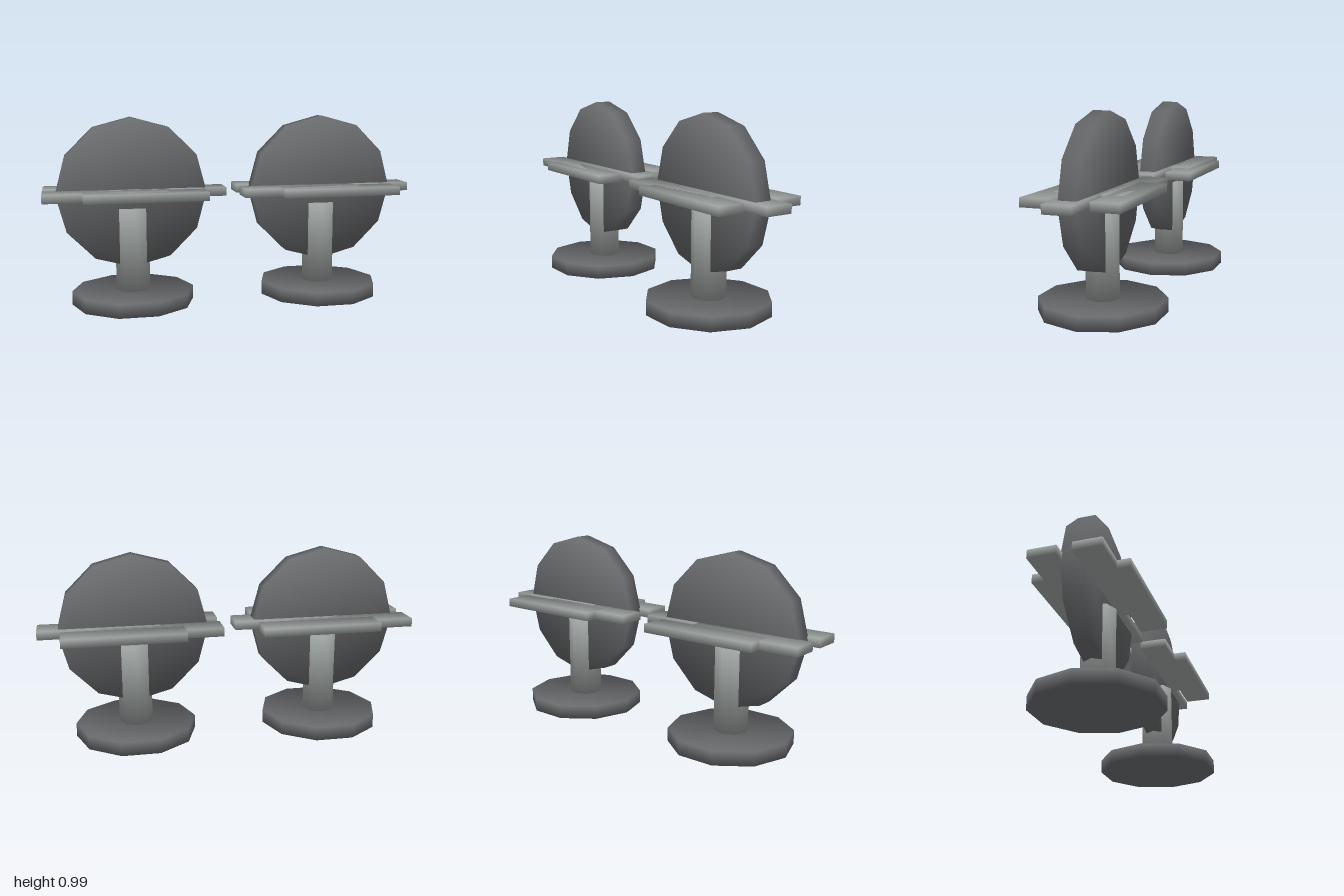
import * as THREE from 'three';
import { mergeVertices } from 'three/addons/utils/BufferGeometryUtils.js';

const darkGrey = new THREE.MeshStandardMaterial({ color: 0x696a6c });
const lightGrey = new THREE.MeshStandardMaterial({ color: 0x9ca19f });

// Share the corners of a convex solid centred on its origin and blend the
// normals across its edges: cross-section direction plus an end-face share
function softenEdges(geometry, sectionNormal, endShare) {
  geometry.deleteAttribute('normal');
  geometry.deleteAttribute('uv');
  const soft = mergeVertices(geometry);
  const p = soft.attributes.position;
  const normals = new THREE.Float32BufferAttribute(p.count * 3, 3);
  for (let i = 0; i < p.count; i++) {
    const n = sectionNormal(p.getX(i), p.getY(i));
    n.z = Math.sign(p.getZ(i)) * endShare;
    n.normalize();
    normals.setXYZ(i, n.x, n.y, n.z);
  }
  soft.setAttribute('normal', normals);
  return soft;
}

// Regular prism along z with its first corner at angle start
function prism(radius, depth, sides, start) {
  const corners = [];
  for (let i = 0; i < sides; i++) {
    const a = start + (i / sides) * Math.PI * 2;
    corners.push(new THREE.Vector2(Math.cos(a) * radius, Math.sin(a) * radius));
  }
  const solid = new THREE.ExtrudeGeometry(new THREE.Shape(corners), { depth, bevelEnabled: false });
  solid.translate(0, 0, -depth / 2);
  return softenEdges(solid, (x, y) => new THREE.Vector3(x / radius, y / radius, 0), 0.8);
}

function part(name, geometry, material, x, y, z) {
  const mesh = new THREE.Mesh(geometry, material);
  mesh.name = name;
  mesh.position.set(x, y, z);
  return mesh;
}

// One stylised tree, standing on its own origin
function createTree(name) {
  const tree = new THREE.Group();
  tree.name = name;

  // Ten-sided foot, octagonal trunk and upright twelve-sided crown disc
  const base = prism(0.325, 0.073, 10, 0).rotateX(-Math.PI / 2);
  const trunk = prism(0.09, 0.442, 8, 0).rotateX(-Math.PI / 2);
  const crown = prism(0.396, 0.09, 12, Math.PI / 2);
  tree.add(part('base', base, darkGrey, 0, 0.0365, 0));
  tree.add(part('trunk', trunk, lightGrey, 0, 0.293, 0));
  tree.add(part('crown', crown, darkGrey, 0, 0.597, 0));

  // Staggered horizontal planks, mirrored front to back
  const plank = softenEdges(new THREE.BoxGeometry(0.638, 0.045, 0.143),
    (x, y) => new THREE.Vector3(Math.sign(x), Math.sign(y), 0), 1);
  const planks = new THREE.Group();
  planks.name = 'planks';
  planks.add(part('middlePlank', plank, lightGrey, 0.18, 0.595, 0));
  for (const [side, sign] of [['front', 1], ['back', -1]]) {
    planks.add(part(side + 'InnerPlank', plank, lightGrey, -0.142, 0.595, sign * 0.108));
    planks.add(part(side + 'OuterPlank', plank, lightGrey, 0.059, 0.595, sign * 0.173));
  }
  tree.add(planks);
  return tree;
}

export function createModel() {
  const model = new THREE.Group();
  model.name = 'treePair';
  // Two identical trees side by side
  for (const [name, x] of [['rightTree', -0.539], ['leftTree', 0.501]]) {
    const tree = createTree(name);
    tree.position.x = x;
    model.add(tree);
  }
  return model;
}
